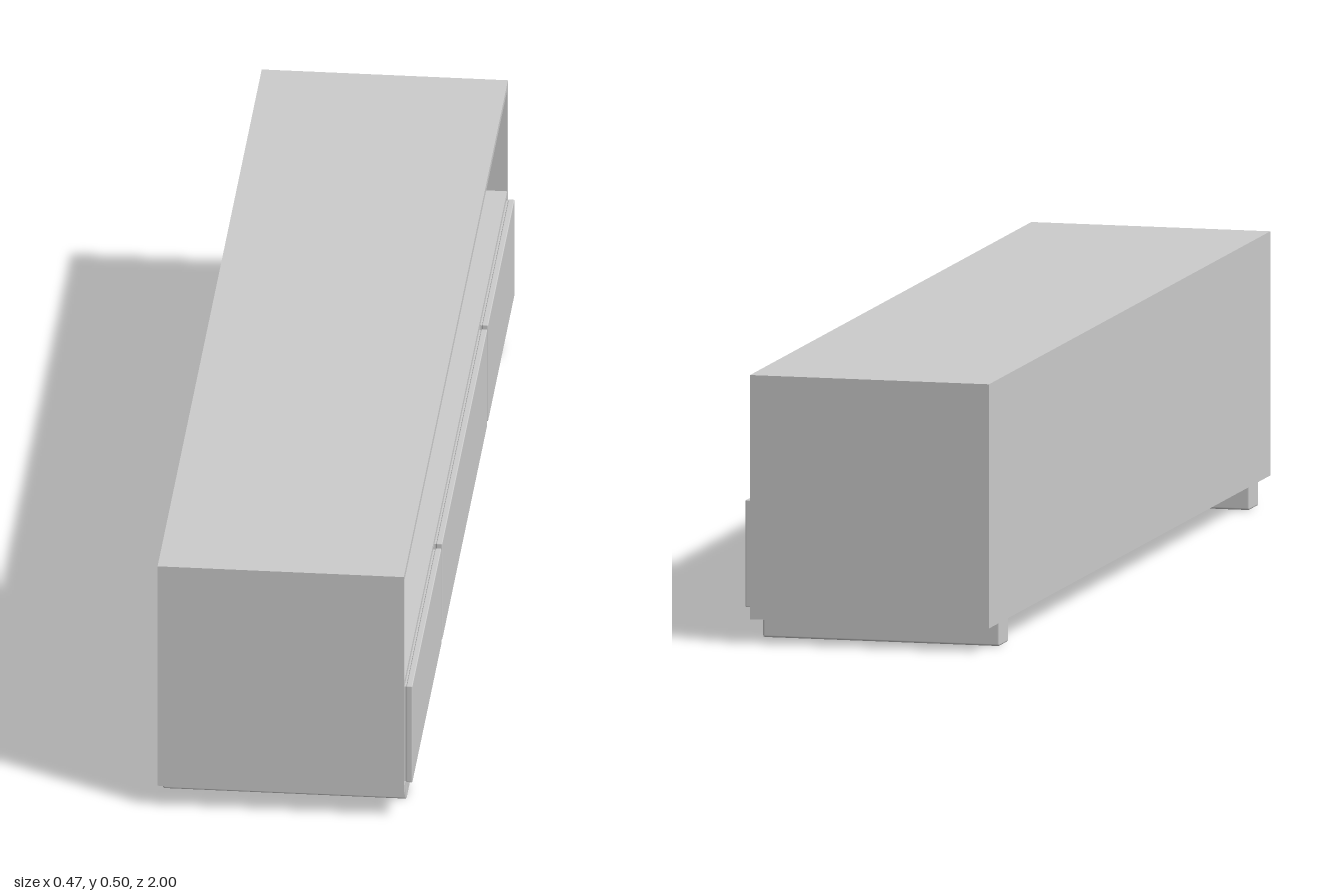
import * as THREE from 'three';
import { RoundedBoxGeometry } from 'three/addons/geometries/RoundedBoxGeometry.js';

export function createModel() {
  const model = new THREE.Group();
  const material = new THREE.MeshStandardMaterial({ color: 0xcccccc });

  // Box given by its limits on each axis, optionally with softened edges
  function box(name, [x0, x1], [y0, y1], [z0, z1], radius = 0) {
    const size = [x1 - x0, y1 - y0, z1 - z0];
    const geometry = radius
      ? new RoundedBoxGeometry(...size, 2, radius)
      : new THREE.BoxGeometry(...size);
    const mesh = new THREE.Mesh(geometry, material);
    mesh.name = name;
    mesh.position.set((x0 + x1) / 2, (y0 + y1) / 2, (z0 + z1) / 2);
    model.add(mesh);
  }

  const back = -0.234, front = 0.22;
  const bottom = 0.045, top = 0.498;
  const wall = 0.016, inner = 1 - wall;

  // Cabinet shell, open towards +x
  box('topPanel', [back, front], [top - 0.013, top], [-1, 1]);
  box('bottomPanel', [back, front], [bottom, bottom + 0.015], [-1, 1]);
  for (const s of [-1, 1]) {
    const z = [s * inner, s].sort((a, b) => a - b);
    box('sidePanel', [back, front], [bottom + 0.015, top - 0.013], z);
  }
  box('backPanel', [back, back + 0.012], [bottom + 0.015, top - 0.013], [-inner, inner]);

  // Open compartment shelf and the dividers below it
  box('shelf', [back + 0.012, front], [0.265, 0.277], [-inner, inner]);
  for (const z of [-0.466, 0.415]) {
    box('divider', [back + 0.012, front], [bottom + 0.015, 0.265], [z - 0.008, z + 0.008]);
  }

  // Drawers: a proud front plate on a slightly smaller backing
  for (const [z0, z1] of [[-0.98, -0.474], [-0.458, 0.406], [0.424, 0.98]]) {
    box('drawerFront', [0.2225, 0.234], [0.064, 0.263], [z0, z1], 0.002);
    box('drawerBacking', [0.2, 0.2225], [0.066, 0.261], [z0 + 0.002, z1 - 0.002]);
  }

  // Runner feet across the depth
  for (const z of [-0.885, 0.892]) {
    box('runnerFoot', [-0.232, 0.218], [0, bottom + 0.005], [z - 0.032, z + 0.032], 0.004);
  }

  return model;
}
